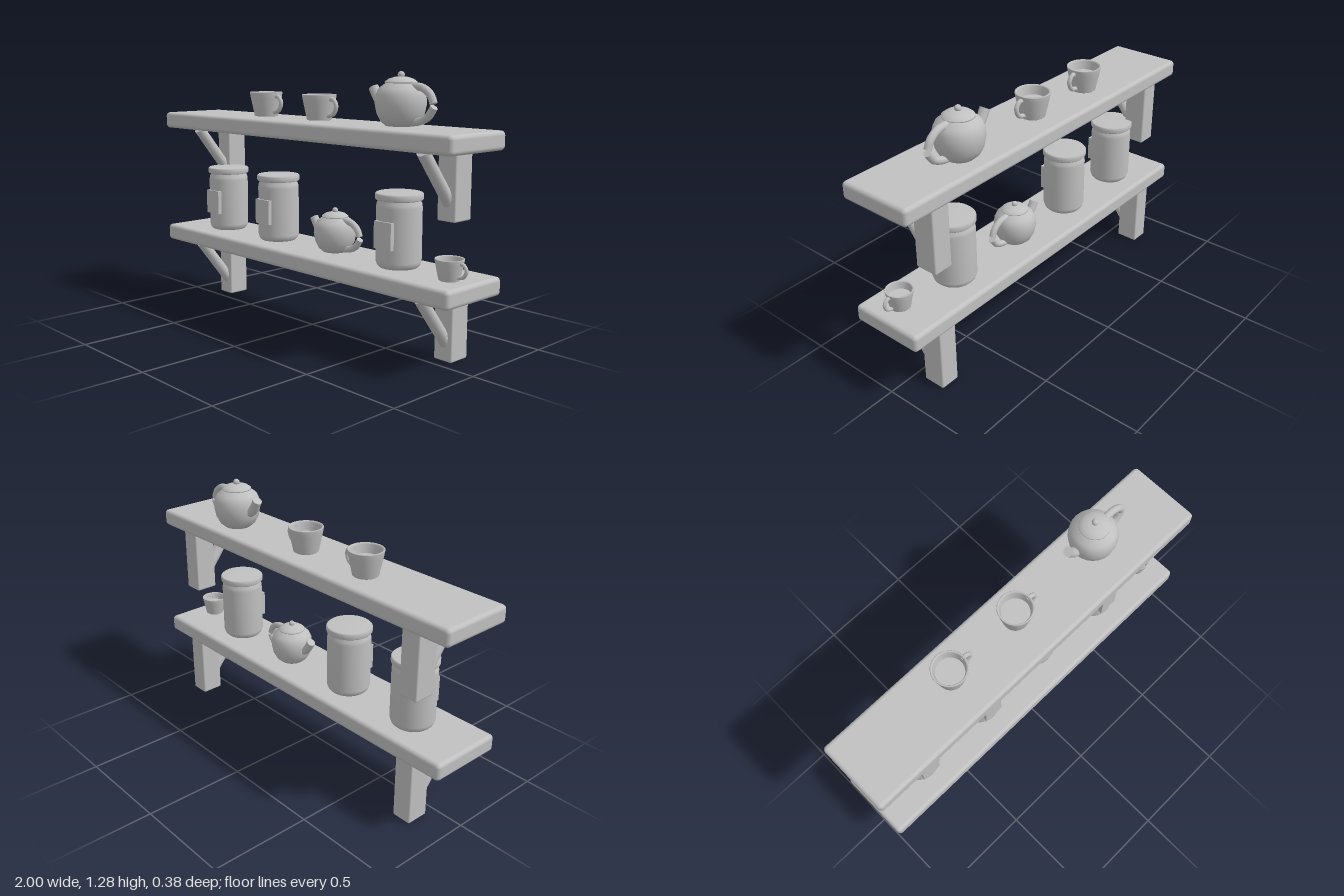
import * as THREE from 'three';
import { RoundedBoxGeometry } from 'three/addons/geometries/RoundedBoxGeometry.js';

const grey = new THREE.MeshStandardMaterial({ color: 0xc0c0c0 });
grey.name = 'plain grey';

function add(parent, name, geometry, x = 0, y = 0, z = 0) {
  const mesh = new THREE.Mesh(geometry, grey);
  mesh.name = name;
  mesh.position.set(x, y, z);
  parent.add(mesh);
  return mesh;
}

function group(parent, name, x, y, z, scale = 1) {
  const g = new THREE.Group();
  g.name = name;
  g.position.set(x, y, z);
  g.scale.setScalar(scale);
  parent.add(g);
  return g;
}

const lathe = (points, sides = 32) =>
  new THREE.LatheGeometry(points.map(([r, y]) => new THREE.Vector2(r, y)), sides);

// Round rod along a curve in the xy plane, with closed ends
function rod(parent, name, points, radius) {
  const curve = new THREE.CatmullRomCurve3(points.map(([x, y]) => new THREE.Vector3(x, y, 0)));
  add(parent, name, new THREE.TubeGeometry(curve, 14, radius, 12));
  for (const t of [0, 1]) {
    const p = curve.getPointAt(t);
    const cap = add(parent, name + 'End', new THREE.CircleGeometry(radius, 12), p.x, p.y, p.z);
    const out = curve.getTangentAt(t).multiplyScalar(t ? 1 : -1);
    cap.quaternion.setFromUnitVectors(new THREE.Vector3(0, 0, 1), out);
  }
}

// Plank on two wall posts, each with a slanting round strut
function addShelf(parent, name, y) {
  const shelf = group(parent, name, 0, y, 0);
  add(shelf, 'plank', new RoundedBoxGeometry(2, 0.085, 0.375, 3, 0.02), 0, 0.361, 0);
  const top = new THREE.Vector3(0, 0.318, 0.107);
  const bottom = new THREE.Vector3(0, 0.065, -0.09);
  for (const side of [-1, 1]) {
    add(shelf, 'post', new RoundedBoxGeometry(0.1, 0.325, 0.115, 2, 0.008), side * 0.79, 0.1625, -0.113);
    const strut = add(shelf, 'strut',
      new THREE.CylinderGeometry(0.029, 0.029, top.distanceTo(bottom), 20),
      side * 0.79, (top.y + bottom.y) / 2, (top.z + bottom.z) / 2);
    strut.quaternion.setFromUnitVectors(new THREE.Vector3(0, 1, 0), top.clone().sub(bottom).normalize());
  }
}

function addJar(parent, x, y, z) {
  const jar = group(parent, 'jar', x, y, z);
  add(jar, 'jarBody', lathe([[0, 0], [0.088, 0], [0.098, 0.01], [0.105, 0.03],
    [0.105, 0.275], [0.102, 0.292], [0.094, 0.307], [0.094, 0.32]]));
  add(jar, 'jarLid', lathe([[0, 0.308], [0.105, 0.308], [0.11, 0.313], [0.11, 0.334],
    [0.104, 0.34], [0, 0.34]]));
  add(jar, 'label', new THREE.BoxGeometry(0.102, 0.125, 0.022), 0, 0.155, 0.101);
}

function addCup(parent, x, y, z, scale) {
  const cup = group(parent, 'cup', x, y, z, scale);
  add(cup, 'cupBowl', lathe([[0, 0], [0.056, 0], [0.061, 0.004], [0.08, 0.095], [0.085, 0.122],
    [0.083, 0.125], [0.077, 0.125], [0.074, 0.118], [0.066, 0.075]]));
  add(cup, 'cupFilling', new THREE.CircleGeometry(0.068, 32), 0, 0.078, 0).rotation.x = -Math.PI / 2;
  rod(cup, 'cupHandle', [[0.07, 0.103], [0.098, 0.102], [0.118, 0.073], [0.1, 0.034], [0.06, 0.022]], 0.011);
}

function addTeapot(parent, x, y, z, scale) {
  const pot = group(parent, 'teapot', x, y, z, scale);
  add(pot, 'potBody', lathe([[0, 0], [0.066, 0], [0.09, 0.021], [0.108, 0.055], [0.117, 0.1],
    [0.113, 0.14], [0.1, 0.168], [0.068, 0.192]], 24));
  add(pot, 'potLid', lathe([[0.06, 0.188], [0.073, 0.192], [0.073, 0.197], [0.055, 0.21],
    [0.028, 0.218], [0, 0.22]], 24));
  add(pot, 'lidKnob', new THREE.SphereGeometry(0.016, 16, 12), 0, 0.227, 0);
  rod(pot, 'spout', [[-0.08, 0.09], [-0.115, 0.098], [-0.139, 0.122], [-0.167, 0.168]], 0.024);
  // Handle in two pieces that nearly meet
  rod(pot, 'upperHandle', [[0.06, 0.178], [0.126, 0.172], [0.169, 0.143], [0.187, 0.105]], 0.018);
  rod(pot, 'lowerHandle', [[0.19, 0.091], [0.156, 0.046], [0.104, 0.025], [0.05, 0.02]], 0.018);
}

export function createModel() {
  const model = new THREE.Group();
  model.name = 'kitchenShelves';

  addShelf(model, 'lowerShelf', 0);
  addShelf(model, 'upperShelf', 0.632);

  // Lower shelf contents
  for (const x of [-0.685, -0.265, 0.565]) addJar(model, x, 0.403, -0.007);
  addTeapot(model, 0.144, 0.403, -0.017, 0.89);
  addCup(model, 0.88, 0.403, 0.025, 0.76);

  // Upper shelf contents
  for (const x of [-0.382, 0.019]) addCup(model, x, 1.035, -0.028, 1);
  addTeapot(model, 0.532, 1.035, -0.043, 1);
  return model;
}
